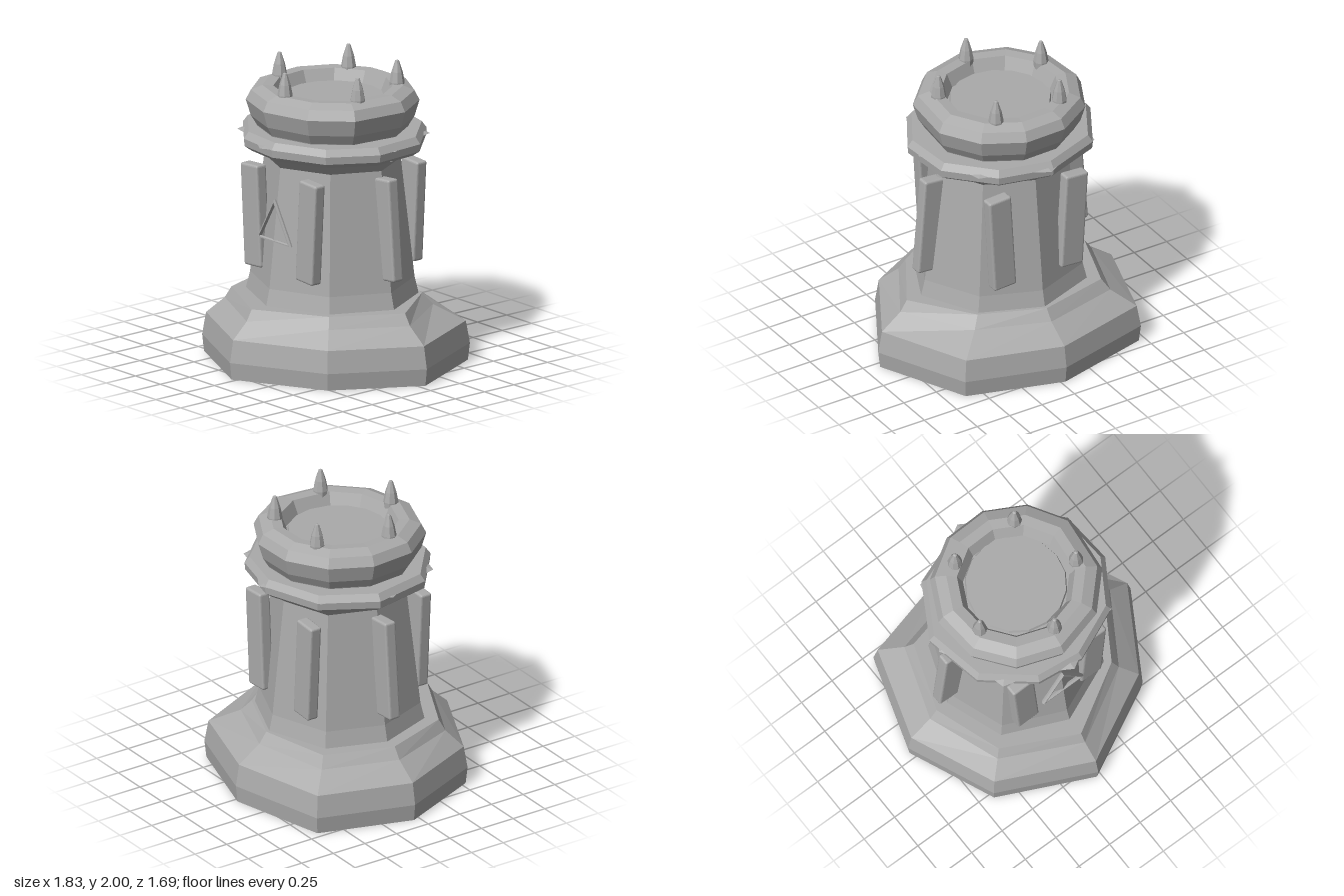
import * as THREE from 'three';
import { RoundedBoxGeometry } from 'three/addons/geometries/RoundedBoxGeometry.js';

const stone = new THREE.MeshStandardMaterial({ color: 0xaaaaaa });

// Faceted look: every face keeps its own normal
function facet(geometry) {
  const g = geometry.index ? geometry.toNonIndexed() : geometry;
  g.computeVertexNormals();
  return g;
}

function part(name, geometry) {
  const mesh = new THREE.Mesh(facet(geometry), stone);
  mesh.name = name;
  return mesh;
}

// Skin irregular polygon sections; angles run from the front (+z) towards +x.
// radius(level, i) gives the radius of corner i in a section.
function loft(angles, levels, radius) {
  const n = angles.length, pos = [], idx = [];
  for (const level of levels) {
    angles.forEach((deg, i) => {
      const a = THREE.MathUtils.degToRad(deg), r = radius(level, i);
      pos.push(r * Math.sin(a), level[0], r * Math.cos(a));
    });
  }
  for (let k = 0; k < levels.length - 1; k++) {
    for (let i = 0; i < n; i++) {
      const j = (i + 1) % n, a = k * n, b = a + n;
      idx.push(a + i, a + j, b + j, a + i, b + j, b + i);
    }
  }
  // End caps
  const last = levels.length - 1, c = pos.length / 3;
  pos.push(0, levels[0][0], 0, 0, levels[last][0], 0);
  for (let i = 0; i < n; i++) {
    const j = (i + 1) % n;
    idx.push(c, j, i, c + 1, last * n + i, last * n + j);
  }
  const g = new THREE.BufferGeometry();
  g.setAttribute('position', new THREE.Float32BufferAttribute(pos, 3));
  g.setIndex(idx);
  return g;
}

export function createModel() {
  const model = new THREE.Group();
  model.name = 'tower';
  const tower = new THREE.Group();
  tower.name = 'towerBody';
  tower.position.set(-0.03, 0, -0.045);
  model.add(tower);

  // Irregular eight-sided plinth: [y, blend from lower to upper radii, scale]
  const eight = [0, 47, 90, 133, 180, 227, 270, 313];
  const lower = [0.885, 0.83, 0.94, 0.895, 0.81, 0.934, 0.885, 0.863];
  const upper = [0.70, 0.627, 0.72, 0.58, 0.57, 0.67, 0.65, 0.67];
  tower.add(part('plinth', loft(eight,
    [[0, 0, 0.985], [0.115, 0, 1], [0.265, 0, 0.97], [0.37, 0.77, 1], [0.445, 1, 1]],
    (l, i) => THREE.MathUtils.lerp(lower[i], upper[i], l[1]) * l[2])));

  // Tapered shaft with flared foot and neck
  const shaft = [1.0, 1.0, 1.06, 0.97, 0.95, 1.0, 0.98, 1.0];
  tower.add(part('shaft', loft(eight,
    [[0.43, 0.58], [0.445, 0.575], [0.555, 0.548], [1.36, 0.455], [1.445, 0.55]],
    (l, i) => l[1] * shaft[i])));

  // Collar ring
  const ring = [0.98, 0.97, 1, 1.03, 1.03, 0.98, 0.965, 1, 1.025, 1.01];
  tower.add(part('collar', loft([-23, 8, 45, 78, 111, 147, 183, 223, 261, 299],
    [[1.44, 0.572], [1.475, 0.62], [1.525, 0.625], [1.57, 0.592]],
    (l, i) => l[1] * ring[i])));

  // Hollow crown with a sunken floor
  const crown = [1.01, 1, 0.99, 1.01, 1.01, 0.99, 0.98, 0.98, 0.99, 1, 1.01];
  tower.add(part('crown', loft([-37, -4, 32, 64, 104, 135, 166, 197, 229, 260, 292],
    [[1.56, 0.49], [1.575, 0.495], [1.64, 0.535], [1.75, 0.568], [1.815, 0.535],
      [1.845, 0.46], [1.84, 0.39], [1.75, 0.35]],
    (l, i) => l[1] * crown[i])));
  const floor = part('crownFloor', new THREE.CylinderGeometry(0.33, 0.34, 0.03, 16));
  floor.position.y = 1.755;
  tower.add(floor);

  // Five spikes on the crown
  const spike = [[0, 1.80], [0.047, 1.80], [0.05, 1.85], [0.037, 1.92], [0.013, 1.995], [0, 2]]
    .map(([r, y]) => new THREE.Vector2(r, y));
  for (let i = 0; i < 5; i++) {
    const a = i * Math.PI * 2 / 5;
    const mesh = part('spike', new THREE.LatheGeometry(spike, 8));
    mesh.position.set(0.415 * Math.sin(a), 0, 0.415 * Math.cos(a));
    mesh.rotation.y = a;
    tower.add(mesh);
  }

  // Flat studs set into the collar
  for (let i = 0; i < 8; i++) {
    const a = i * Math.PI / 4;
    const mesh = part('collarStud', new THREE.OctahedronGeometry(1).scale(0.1, 0.014, 0.06));
    mesh.position.set(0.57 * Math.sin(a), 1.525, 0.57 * Math.cos(a));
    mesh.rotation.y = a;
    tower.add(mesh);
  }

  // Six leaning buttress slabs: the side pair leans in, the others lean out
  for (const side of [-1, 1]) {
    for (const row of [-1, 0, 1]) {
      const slab = part('buttress', new RoundedBoxGeometry(0.17, 0.685, 0.085, 2, 0.015));
      slab.position.set(side * (row ? 0.277 : 0.545), 0.98, row ? row * 0.435 : 0);
      slab.rotation.z = side * (row ? -0.06 : 0.08);
      tower.add(slab);
    }
  }

  // Triangular frame on the front
  const frame = part('triangleFrame', new THREE.TorusGeometry(0.178, 0.016, 6, 3));
  frame.geometry.rotateZ(Math.PI / 2);
  frame.position.set(0, 0.962, 0.502);
  tower.add(frame);

  return model;
}
